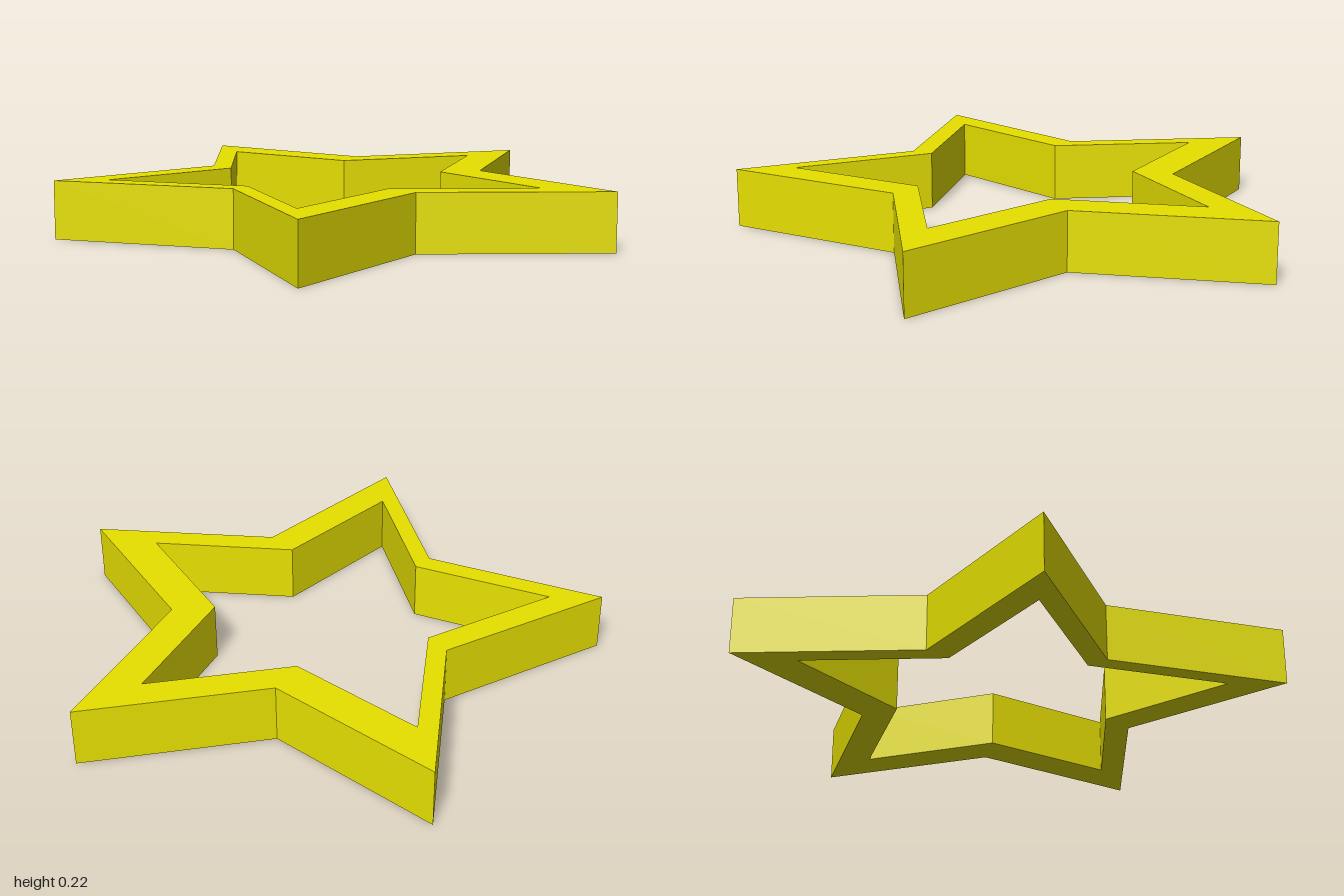
import * as THREE from 'three';

const HEIGHT = 0.215;

// Corners as [x, z], tip and notch alternating around the star
const OUTER = [
  [-0.953, 0.008], [-0.343, -0.32], [-0.24, -1], [0.258, -0.523], [0.938, -0.633],
  [0.635, -0.012], [0.953, 0.602], [0.267, 0.507], [-0.216, 1], [-0.338, 0.317],
];
const INNER = [
  [-0.757, 0.018], [-0.285, -0.237], [-0.204, -0.763], [0.183, -0.395], [0.712, -0.48],
  [0.478, 0], [0.722, 0.479], [0.19, 0.404], [-0.187, 0.787], [-0.281, 0.257],
];

const toPoints = (corners) => corners.map(([x, z]) => new THREE.Vector2(x, -z));

export function createModel() {
  const model = new THREE.Group();
  model.name = 'starFrame';

  const yellow = new THREE.MeshStandardMaterial({ color: 0xe8e200 });
  yellow.name = 'yellow';

  // Star outline with a star-shaped opening, laid flat on the ground.
  // The opening winds the other way, so its walls face inwards.
  const shape = new THREE.Shape(toPoints(OUTER));
  shape.holes.push(new THREE.Path(toPoints(INNER).reverse()));
  const geometry = new THREE.ExtrudeGeometry(shape, { depth: HEIGHT, bevelEnabled: false });
  geometry.rotateX(-Math.PI / 2);

  const ring = new THREE.Mesh(geometry, yellow);
  ring.name = 'starRing';
  model.add(ring);
  return model;
}
